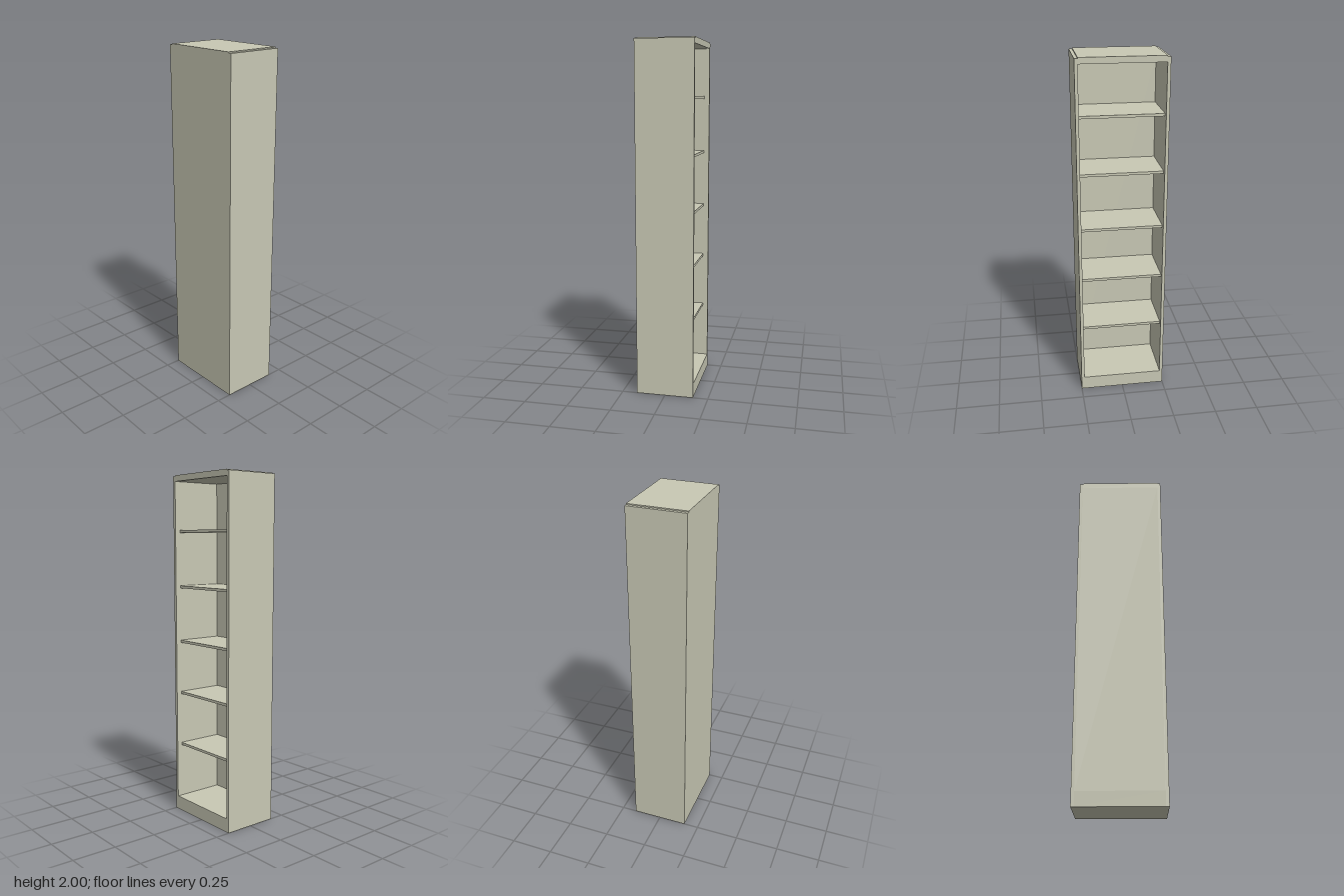
import * as THREE from 'three';

export function createModel() {
  const group = new THREE.Group();
  group.name = 'shelfCabinet';
  const paint = new THREE.MeshStandardMaterial({ color: 0xc8c8b4 });
  paint.name = 'stone beige';

  // Box given by its extents on each axis
  function panel(name, [x0, x1], [y0, y1], [z0, z1]) {
    const mesh = new THREE.Mesh(new THREE.BoxGeometry(x1 - x0, y1 - y0, z1 - z0), paint);
    mesh.name = name;
    mesh.position.set((x0 + x1) / 2, (y0 + y1) / 2, (z0 + z1) / 2);
    group.add(mesh);
  }

  const back = -0.164, open = 0.164, inner = -0.143;
  const outerZ = 0.25, innerZ = 0.232;
  const baseTop = 0.08, ceiling = 1.966, sideTop = 1.994;

  // Carcass, open towards +x
  panel('frontSide', [back, open], [0, sideTop], [innerZ, outerZ]);
  panel('rearSide', [back, open], [0, sideTop], [-outerZ, -innerZ]);
  panel('backPanel', [back, inner], [baseTop, ceiling], [-innerZ, innerZ]);
  panel('base', [back, open], [0, baseTop], [-innerZ, innerZ]);
  panel('top', [back, open], [ceiling, 2], [-innerZ, innerZ]);

  // Shelves, set back from the opening
  [0.4, 0.718, 1.03, 1.354, 1.676].forEach((y, i) =>
    panel(`shelf${i + 1}`, [inner, open - 0.03], [y, y + 0.015], [-innerZ, innerZ]));

  return group;
}
